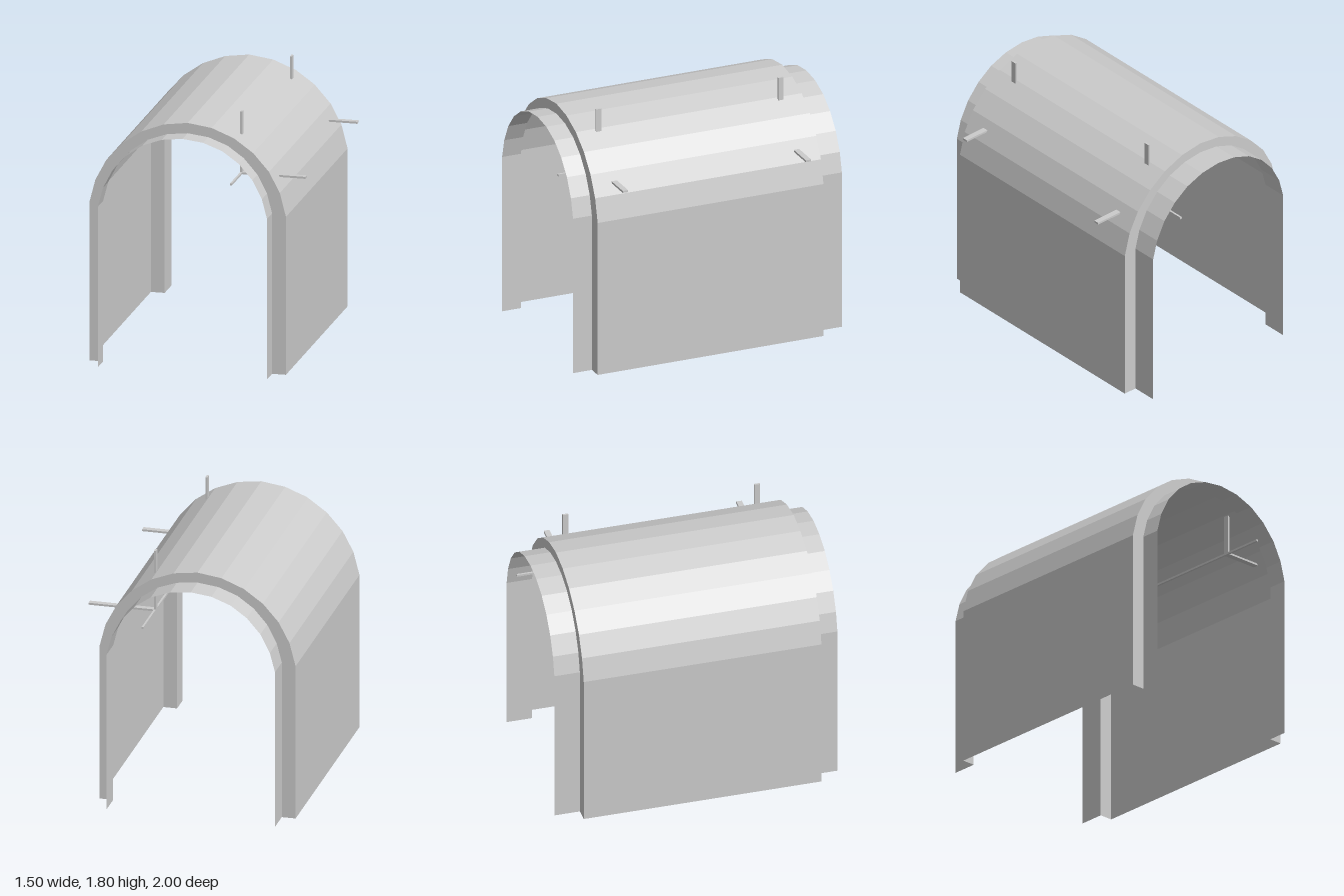
import * as THREE from 'three';

const CX = -0.06; // centre line of the arch
// Half profiles from foot to crown: [offset from centre, height]
const OUTER = [[0.69, 0], [0.69, 1.12], [0.647, 1.286], [0.571, 1.43], [0.46, 1.555], [0.325, 1.65], [0.168, 1.712], [0, 1.735]];
const INNER = [[0.593, 0], [0.593, 1.138], [0.557, 1.275], [0.49, 1.405], [0.395, 1.514], [0.28, 1.595], [0.145, 1.645], [0, 1.662]];

// Full arch outline at depth z, running from the right foot to the left foot
function arch(half, z) {
  const left = half.map(([x, y]) => new THREE.Vector3(CX - x, y, z));
  const right = half.slice(0, -1).reverse().map(([x, y]) => new THREE.Vector3(CX + x, y, z));
  return [...left, ...right];
}

// Thin faceted sheet between two outlines
function sheet(name, a, b) {
  const pos = [];
  for (let i = 0; i < a.length - 1; i++) {
    for (const p of [a[i], b[i + 1], b[i], a[i], a[i + 1], b[i + 1]]) pos.push(p.x, p.y, p.z);
  }
  const geo = new THREE.BufferGeometry();
  geo.setAttribute('position', new THREE.Float32BufferAttribute(pos, 3));
  geo.computeVertexNormals();
  const mat = new THREE.MeshStandardMaterial({ color: 0xcccccc, flatShading: true, side: THREE.DoubleSide });
  const mesh = new THREE.Mesh(geo, mat);
  mesh.name = name;
  return mesh;
}

// Box given by its lower and upper limits
function bar(name, x0, x1, y0, y1, z0, z1) {
  const mesh = new THREE.Mesh(
    new THREE.BoxGeometry(x1 - x0, y1 - y0, z1 - z0),
    new THREE.MeshStandardMaterial({ color: 0xcccccc, flatShading: true })
  );
  mesh.position.set((x0 + x1) / 2, (y0 + y1) / 2, (z0 + z1) / 2);
  mesh.name = name;
  return mesh;
}

export function createModel() {
  const model = new THREE.Group();
  model.name = 'archedShell';

  // Outer vault, stepped in at each end to a narrower collar
  const front = 0.86, back = -0.82;
  model.add(
    sheet('frontCollar', arch(INNER, 1), arch(INNER, front)),
    sheet('frontStep', arch(INNER, front), arch(OUTER, front)),
    sheet('vault', arch(OUTER, front), arch(OUTER, back)),
    sheet('backStep', arch(OUTER, back), arch(INNER, back)),
    sheet('backCollar', arch(INNER, back), arch(INNER, -1))
  );

  // Long rail under the roof
  const rx = 0.279, ry = 1.363, t = 0.007;
  model.add(bar('rail', rx - t, rx + t, ry - t, ry + t, -1, 1));

  // Brackets: an upright and a side arm through the roof
  for (const [z, reach] of [[0.698, 0.73], [-0.657, 0.745]]) {
    const bracket = new THREE.Group();
    bracket.name = z > 0 ? 'frontBracket' : 'backBracket';
    bracket.add(
      bar('upright', rx - t, rx + t, ry, 1.8, z - 0.02, z + 0.02),
      bar('sideArm', rx, reach, ry - t, ry + t, z - 0.02, z + 0.02)
    );
    model.add(bracket);
  }
  return model;
}
